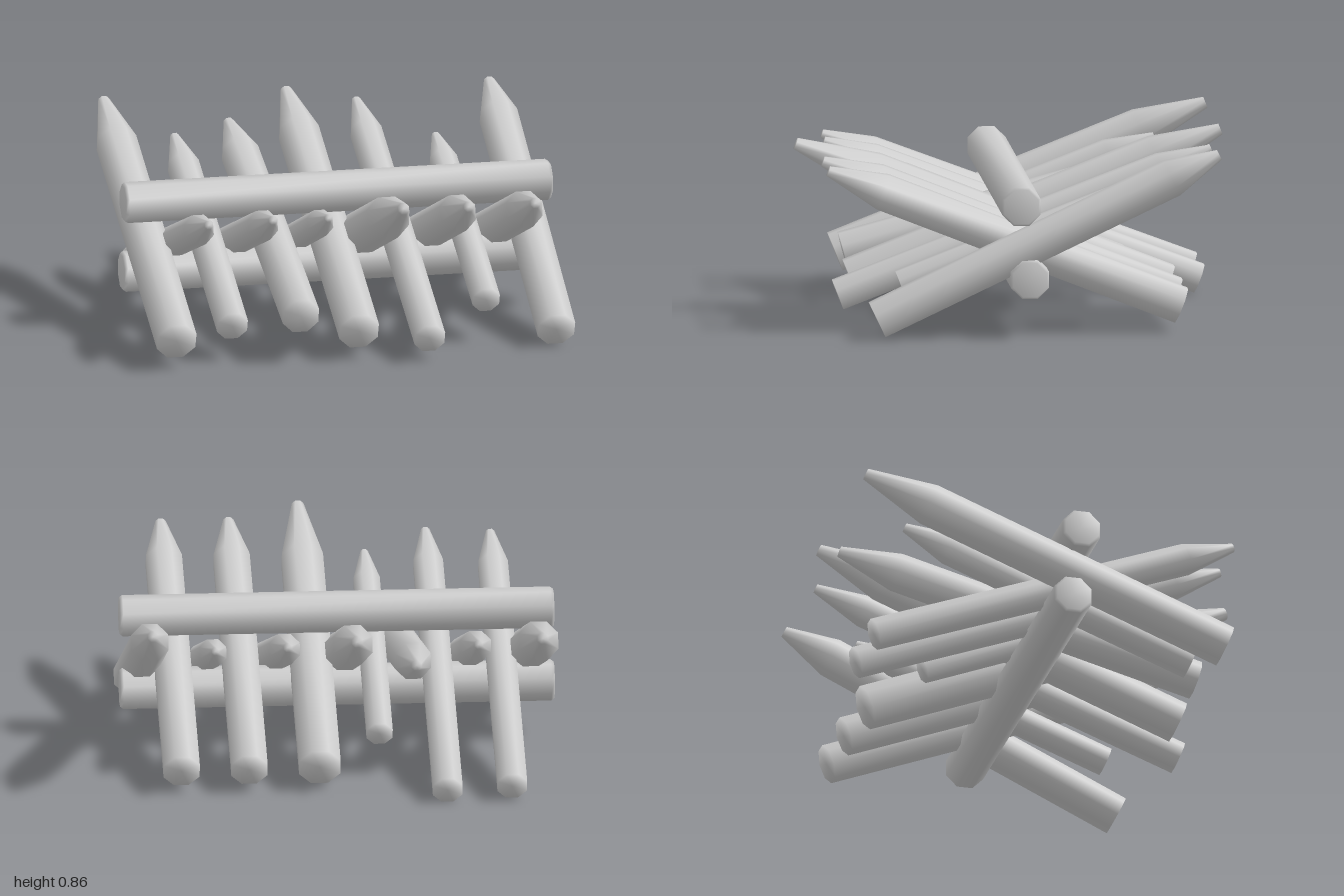
import * as THREE from 'three';
import { mergeVertices } from 'three/addons/utils/BufferGeometryUtils.js';

const material = new THREE.MeshStandardMaterial({ color: 0xcccccc });
const APOTHEM = Math.cos(Math.PI / 8);

// Eight-sided smooth-shaded timber along +y; profile is [radius across flats, height]
function timber(profile) {
  const points = profile.map(([r, y]) => new THREE.Vector2(r / APOTHEM, y));
  const lathe = new THREE.LatheGeometry(points, 8, Math.PI / 8);
  lathe.deleteAttribute('uv');
  lathe.deleteAttribute('normal');
  const geometry = mergeVertices(lathe);
  geometry.computeVertexNormals();
  return new THREE.Mesh(geometry, material);
}

// Sharpened stake, sized by its outer limits; side is the z direction of its tip
function stake(side, x, r, tipZ, buttZ, topY, bottomY, taper) {
  const tipR = r * 0.28;
  let angle = 0.4, zb, yb, zt, yt;
  for (let i = 0; i < 4; i++) {
    const s = Math.sin(angle), c = Math.cos(angle);
    zb = -buttZ + r * s;
    yb = bottomY + r * c;
    zt = tipZ - tipR * s;
    yt = topY - tipR * c;
    angle = Math.atan2(yt - yb, zt - zb);
  }
  const length = Math.hypot(zt - zb, yt - yb);
  const mesh = timber([
    [0, 0], [r, 0], [r, length - taper / Math.cos(angle)], [tipR, length], [0, length],
  ]);
  mesh.position.set(x, yb, side * zb);
  mesh.rotation.x = side * (Math.PI / 2 - angle);
  mesh.name = side > 0 ? 'frontStake' : 'backStake';
  return mesh;
}

export function createModel() {
  const group = new THREE.Group();

  // Two horizontal logs, above and below the crossing
  for (const [name, y, z] of [['upperLog', 0.615, 0.01], ['lowerLog', 0.275, -0.03]]) {
    const log = timber([
      [0, -1], [0.078, -1], [0.088, -0.985], [0.088, 0.985], [0.078, 1], [0, 1],
    ]);
    log.rotation.z = Math.PI / 2;
    log.position.set(0, y, z);
    log.name = name;
    group.add(log);
  }

  // Stakes: x, radius, tip reach, butt reach, top, bottom, taper
  const backStakes = [
    [-0.89, 0.09, 1.0, 0.75, 0.84, 0.06, 0.3],
    [-0.61, 0.07, 0.74, 0.65, 0.72, 0.11, 0.21],
    [-0.31, 0.083, 0.97, 0.75, 0.71, 0.155, 0.27],
    [-0.035, 0.09, 1.0, 0.75, 0.84, 0.06, 0.3],
    [0.28, 0.07, 0.93, 0.825, 0.79, 0.05, 0.23],
    [0.597, 0.062, 0.655, 0.56, 0.68, 0.15, 0.18],
    [0.9, 0.085, 0.92, 0.705, 0.855, 0.01, 0.22],
  ];
  const frontStakes = [
    [-0.755, 0.068, 0.795, 0.94, 0.73, 0.01, 0.225],
    [-0.457, 0.068, 0.81, 0.95, 0.74, 0.0, 0.225],
    [-0.167, 0.06, 0.66, 0.555, 0.69, 0.15, 0.19],
    [0.12, 0.095, 0.99, 0.765, 0.82, 0.03, 0.36],
    [0.445, 0.083, 0.89, 0.775, 0.78, 0.04, 0.25],
    [0.757, 0.083, 0.89, 0.775, 0.78, 0.04, 0.25],
  ];
  for (const s of backStakes) group.add(stake(-1, ...s));
  for (const s of frontStakes) group.add(stake(1, ...s));

  return group;
}
